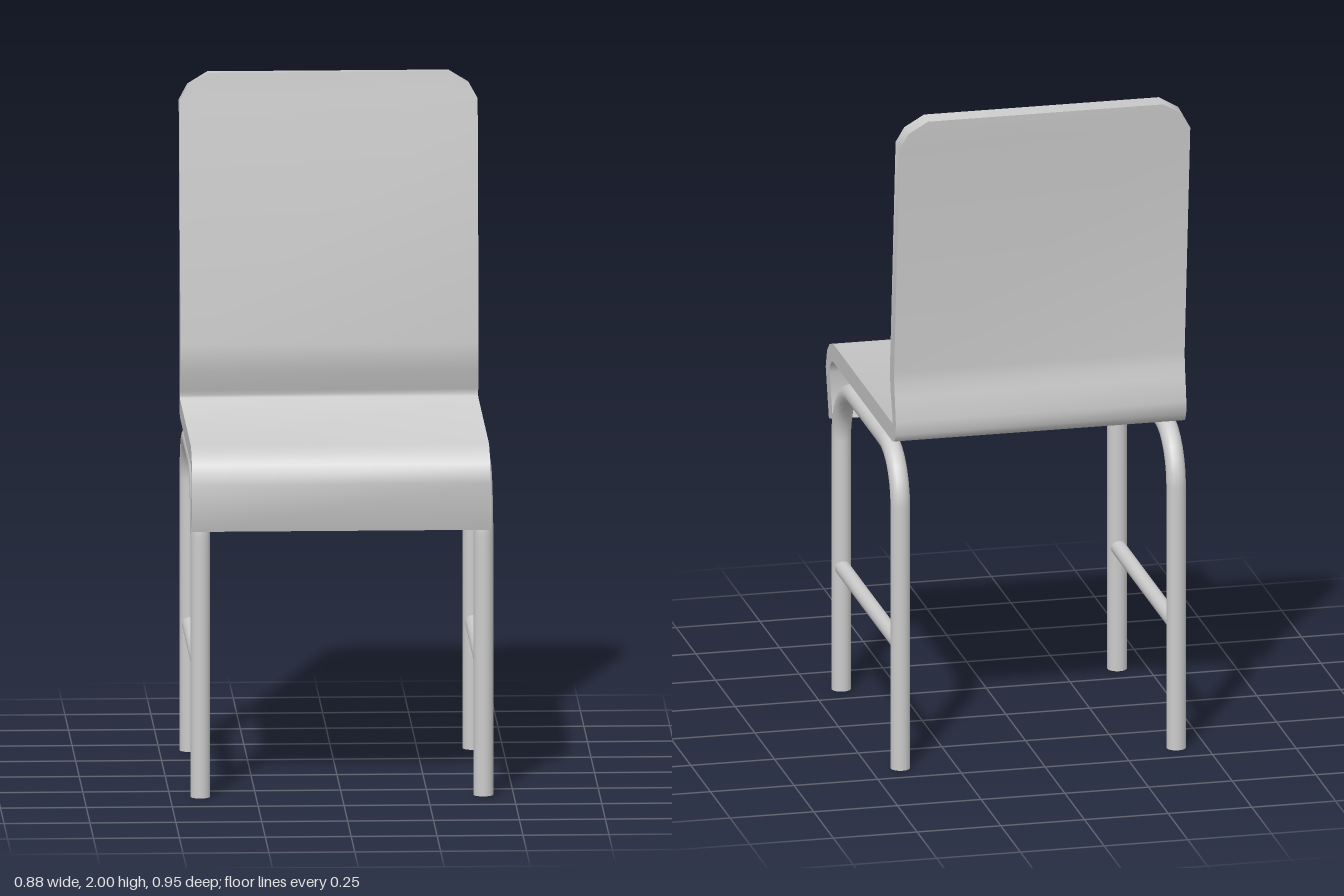
import * as THREE from 'three';
import { toCreasedNormals } from 'three/addons/utils/BufferGeometryUtils.js';

const grey = new THREE.MeshStandardMaterial({ color: 0xcccccc });

function addMesh(parent, name, geometry) {
  const mesh = new THREE.Mesh(geometry, grey);
  mesh.name = name;
  parent.add(mesh);
  return mesh;
}

// Bent sheet: one rectangular section per station, joined into a closed band.
// Station: [upper z, upper y, lower z, lower y, half width]
function sheetGeometry(stations, centreX) {
  const rings = stations.map(([z, y, z2, y2, w]) => [
    [centreX - w, y, z], [centreX + w, y, z],
    [centreX + w, y2, z2], [centreX - w, y2, z2],
  ]);
  const positions = [];
  const quad = (a, b, c, d) => positions.push(...a, ...b, ...c, ...a, ...c, ...d);
  for (let i = 0; i < rings.length - 1; i++) {
    for (let k = 0; k < 4; k++) {
      const n = (k + 1) % 4;
      quad(rings[i][k], rings[i][n], rings[i + 1][n], rings[i + 1][k]);
    }
  }
  quad(...[...rings[0]].reverse());
  quad(...rings[rings.length - 1]);
  const geometry = new THREE.BufferGeometry();
  geometry.setAttribute('position', new THREE.Float32BufferAttribute(positions, 3));
  return toCreasedNormals(geometry, 0.75);
}

// Side frame: two legs joined by a rounded top rail
function frameCurve(front, back, top, frontRadius, backRadius) {
  const v = (z, y) => new THREE.Vector3(0, y, z);
  const k = 0.45; // bezier handle distance from the corner, as a share of the radius
  const f = frontRadius, b = backRadius;
  const path = new THREE.CurvePath();
  path.add(new THREE.LineCurve3(v(front, 0), v(front, top - f)));
  path.add(new THREE.CubicBezierCurve3(
    v(front, top - f), v(front, top - f * k), v(front - f * k, top), v(front - f, top)));
  path.add(new THREE.LineCurve3(v(front - f, top), v(back + b, top)));
  path.add(new THREE.CubicBezierCurve3(
    v(back + b, top), v(back + b * k, top), v(back, top - b * k), v(back, top - b)));
  path.add(new THREE.LineCurve3(v(back, top - b), v(back, 0)));
  return path;
}

export function createModel() {
  const chair = new THREE.Group();
  chair.name = 'chair';

  // Seat and backrest bent from one sheet, front lip to rounded top corners
  const w = 0.434;
  addMesh(chair, 'seatAndBackrest', sheetGeometry([
    [0.434, 0.8, 0.386, 0.812, w],
    [0.474, 0.945, 0.424, 0.945, w],
    [0.457, 1.0, 0.412, 0.972, w],
    [0.425, 1.03, 0.395, 0.986, w],
    [0.375, 1.045, 0.37, 0.99, w],
    [-0.372, 1.045, -0.375, 0.99, w],
    [-0.377, 1.048, -0.4, 0.997, w],
    [-0.379, 1.055, -0.416, 1.02, w],
    [-0.374, 1.07, -0.418, 1.06, w],
    [-0.354, 1.13, -0.406, 1.13, w],
    [-0.346, 1.17, -0.398, 1.17, w],
    [-0.344, 1.21, -0.396, 1.207, w],
    [-0.415, 1.92, -0.468, 1.915, w],
    [-0.42, 1.965, -0.473, 1.96, w - 0.025],
    [-0.423, 2.0, -0.476, 1.995, w - 0.083],
  ], -0.007));

  // Tubular side frames with a stretcher between the legs
  const radius = 0.029, front = 0.341, back = -0.411;
  const curve = frameCurve(front, back, 0.956, 0.19, 0.155);
  for (const [side, x] of [['left', 0.412], ['right', -0.412]]) {
    const frame = new THREE.Group();
    frame.name = side + 'Frame';
    frame.position.x = x;
    chair.add(frame);

    addMesh(frame, side + 'LegTube', new THREE.TubeGeometry(curve, 72, radius, 16));
    for (const z of [front, back]) {
      const cap = addMesh(frame, side + 'Foot', new THREE.CircleGeometry(radius, 16));
      cap.rotation.x = Math.PI / 2;
      cap.position.z = z;
    }

    const stretcher = addMesh(frame, side + 'Stretcher',
      new THREE.CylinderGeometry(0.023, 0.023, 0.72, 16));
    stretcher.rotation.x = Math.PI / 2;
    stretcher.position.set(0, 0.376, (front + back) / 2);
  }
  return chair;
}
